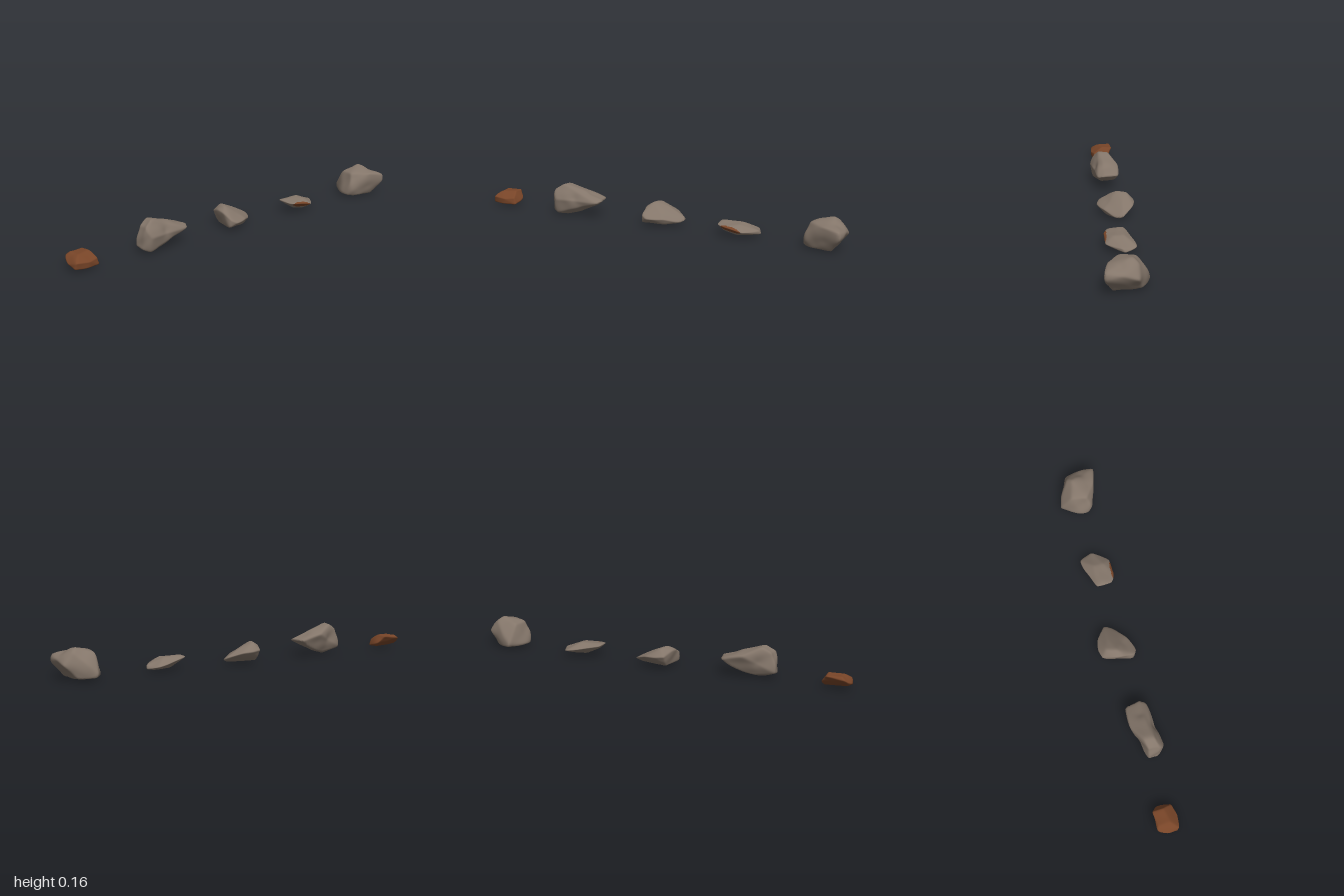
import * as THREE from 'three';
import { mergeVertices } from 'three/addons/utils/BufferGeometryUtils.js';
import { ConvexGeometry } from 'three/addons/geometries/ConvexGeometry.js';

const vec = (a) => new THREE.Vector3(a[0], a[1], a[2]);

// Smooth, repeatable surface unevenness in about -1..1
const ripple = (p, s) =>
  (Math.sin(p.x * 61 + p.y * 37 + s) + Math.sin(p.y * 73 - p.z * 49 + s * 2.3) + Math.sin(p.z * 67 + p.x * 31 - s)) / 3;

// Rounded stone: a sphere pulled onto the flat faces spanned by a few corner points.
// Each dent is [x, y, z, radius, depth].
function stoneGeometry(corners, { seed = 1, rough = 0.03, round = 32, dents = [] } = {}) {
  const points = corners.map(vec);
  const box = new THREE.Box3().setFromPoints(points);
  const size = box.getSize(new THREE.Vector3());
  const centre = points.reduce((sum, p) => sum.add(p), new THREE.Vector3()).divideScalar(points.length);

  // Facet planes of the block
  const hull = new ConvexGeometry(points).getAttribute('position');
  const planes = [];
  for (let i = 0; i < hull.count; i += 3) {
    const [a, b, c] = [0, 1, 2].map((k) => new THREE.Vector3().fromBufferAttribute(hull, i + k));
    const n = b.sub(a).cross(c.sub(a)).normalize();
    const d = n.dot(a) - n.dot(centre);
    if (d > 1e-5 && !planes.some((q) => q.n.dot(n) > 0.9995)) planes.push({ n, d });
  }

  let geometry = new THREE.IcosahedronGeometry(1, 15);
  geometry.deleteAttribute('uv');
  geometry.deleteAttribute('normal');
  geometry = mergeVertices(geometry, 1e-4);
  const pos = geometry.getAttribute('position');
  for (let i = 0; i < pos.count; i++) {
    const dir = new THREE.Vector3().fromBufferAttribute(pos, i).multiply(size);
    let sum = 0;
    for (const { n, d } of planes) sum += Math.max(0, n.dot(dir) / d) ** round;
    const p = dir.clone().multiplyScalar(sum ** (-1 / round)).add(centre);
    let scale = 1 + rough * ripple(p, seed);
    for (const [x, y, z, r, depth] of dents) {
      scale -= depth * Math.exp(-p.distanceToSquared(new THREE.Vector3(x, y, z)) / (r * r));
    }
    p.sub(centre).multiplyScalar(scale).add(centre);
    pos.setXYZ(i, p.x, p.y, p.z);
  }

  // Bring the stone back to the extent of its corner points
  geometry.computeBoundingBox();
  const made = geometry.boundingBox;
  const k = size.clone().divide(made.getSize(new THREE.Vector3()));
  geometry.translate(-made.min.x, -made.min.y, -made.min.z);
  geometry.scale(k.x, k.y, k.z);
  geometry.translate(box.min.x, box.min.y, box.min.z);
  geometry.computeVertexNormals();
  return geometry;
}

// Sorts triangles into two material groups by a test on their centre
function paintWhere(geometry, test) {
  const index = geometry.getIndex().array;
  const pos = geometry.getAttribute('position');
  const lists = [[], []];
  for (let i = 0; i < index.length; i += 3) {
    const tri = [index[i], index[i + 1], index[i + 2]];
    const mid = new THREE.Vector3();
    tri.forEach((v) => mid.add(new THREE.Vector3().fromBufferAttribute(pos, v)));
    lists[test(mid.divideScalar(3)) ? 1 : 0].push(...tri);
  }
  geometry.setIndex([...lists[0], ...lists[1]]);
  geometry.addGroup(0, lists[0].length, 0);
  geometry.addGroup(lists[0].length, lists[1].length, 1);
}

export function createModel() {
  const stone = new THREE.MeshStandardMaterial({ color: 0x84766a });
  stone.name = 'greyBrownStone';
  const rust = new THREE.MeshStandardMaterial({ color: 0x784528 });
  rust.name = 'rustBrown';

  const group = new THREE.Group();
  group.name = 'rocks';
  const add = (name, geometry, material) => {
    const mesh = new THREE.Mesh(geometry, material);
    mesh.name = name;
    group.add(mesh);
  };

  // Small rusty slab, leaning back
  add('rustyRock', stoneGeometry([
    [-0.99, 0.012, 0.045], [-0.985, 0.02, -0.01], [-0.86, 0.01, 0.045], [-0.87, 0.012, -0.01],
    [-0.92, 0.01, 0.055], [-1, 0.03, 0], [-0.855, 0.02, 0.01], [-0.985, 0.045, 0.05],
    [-0.92, 0.04, 0.062], [-0.98, 0.055, -0.05], [-0.96, 0.075, -0.04], [-0.885, 0.072, -0.055],
    [-0.885, 0.075, 0], [-0.95, 0.072, 0.015], [-0.868, 0.045, 0.042], [-0.865, 0.04, -0.035],
  ], { seed: 2, rough: 0.07 }), rust);

  // Long rock with a blunt high end and an overhanging tip
  add('longRock', stoneGeometry([
    [-0.612, 0.02, 0.045], [-0.53, 0, 0.03], [-0.5, 0.01, -0.01], [-0.57, 0.012, 0.065],
    [-0.615, 0.03, 0], [-0.596, 0.137, 0.055], [-0.59, 0.135, 0], [-0.575, 0.085, 0.085],
    [-0.55, 0.16, 0.04], [-0.54, 0.158, -0.01], [-0.46, 0.115, -0.06], [-0.44, 0.132, 0.02],
    [-0.35, 0.09, -0.058], [-0.33, 0.09, 0.02], [-0.35, 0.08, 0.053], [-0.42, 0.037, 0.03],
    [-0.45, 0.06, 0.06], [-0.42, 0.04, -0.035],
  ], { seed: 4, rough: 0.05, dents: [
    [-0.48, 0.1, 0.07, 0.03, 0.16], [-0.54, 0.08, -0.045, 0.035, 0.15], [-0.4, 0.13, 0, 0.03, 0.1],
  ] }), stone);

  // Wedge rock, sloping down to its left
  add('wedgeRock', stoneGeometry([
    [-0.075, 0.015, 0.05], [-0.055, 0.01, 0], [0.09, 0.01, -0.03], [0.03, 0.01, 0.03],
    [-0.05, 0.012, -0.06], [-0.08, 0.085, 0.01], [-0.075, 0.09, -0.04], [-0.06, 0.07, -0.1],
    [-0.045, 0.11, -0.02], [-0.03, 0.106, -0.07], [-0.01, 0.065, -0.11], [0.05, 0.06, -0.1],
    [0.03, 0.085, -0.05], [0.12, 0.03, -0.045], [0.1, 0.02, -0.005], [0.04, 0.04, 0.045],
    [-0.04, 0.04, 0.08], [-0.07, 0.06, 0.06],
  ], { seed: 6, rough: 0.05, dents: [[0, 0.08, 0.03, 0.035, 0.1]] }), stone);

  // Flat flake with a rusty patch on its front edge
  const flake = stoneGeometry([
    [0.335, 0.062, -0.03], [0.34, 0.06, 0.05], [0.36, 0.07, 0], [0.45, 0.068, -0.02],
    [0.45, 0.066, 0.03], [0.385, 0.055, 0.072], [0.48, 0.035, 0.07], [0.5, 0.03, 0.04],
    [0.54, 0.035, -0.01], [0.545, 0.015, -0.02], [0.535, 0.02, -0.055], [0.51, 0.03, -0.08],
    [0.45, 0.04, -0.07], [0.37, 0.05, -0.035], [0.44, 0.01, 0.035], [0.375, 0.028, 0.04],
    [0.42, 0.012, -0.02], [0.51, 0.01, -0.03],
  ], { seed: 3, rough: 0.05 });
  paintWhere(flake, (p) =>
    p.z > 0.035 && ((p.x - 0.415) / 0.055) ** 2 + ((p.y - 0.043 + (p.x - 0.415) * 0.15) / 0.014) ** 2 < 1);
  add('flakeRock', flake, [stone, rust]);

  // Large blocky rock
  add('blockRock', stoneGeometry([
    [0.787, 0.01, 0.03], [0.785, 0.015, 0], [0.94, 0.005, 0.065], [0.85, 0.005, 0.06],
    [0.85, 0.01, -0.106], [0.93, 0.01, -0.06], [0.84, 0.03, -0.106], [0.81, 0.04, 0.06],
    [0.8, 0.08, 0.045], [0.82, 0.125, 0.03], [0.83, 0.125, -0.045], [0.9, 0.125, 0.09],
    [0.99, 0.07, 0.108], [0.985, 0.11, 0.105], [0.9, 0.08, 0.09], [1, 0.1, 0.03],
    [0.985, 0.07, -0.045], [0.89, 0.15, -0.01], [0.92, 0.155, -0.02], [0.94, 0.135, -0.045],
    [0.9, 0.09, -0.08], [0.96, 0.03, 0.02],
  ], { seed: 8, rough: 0.035, dents: [[0.9, 0.05, 0.1, 0.035, 0.08], [0.96, 0.14, 0.04, 0.03, 0.1]] }), stone);

  return group;
}
